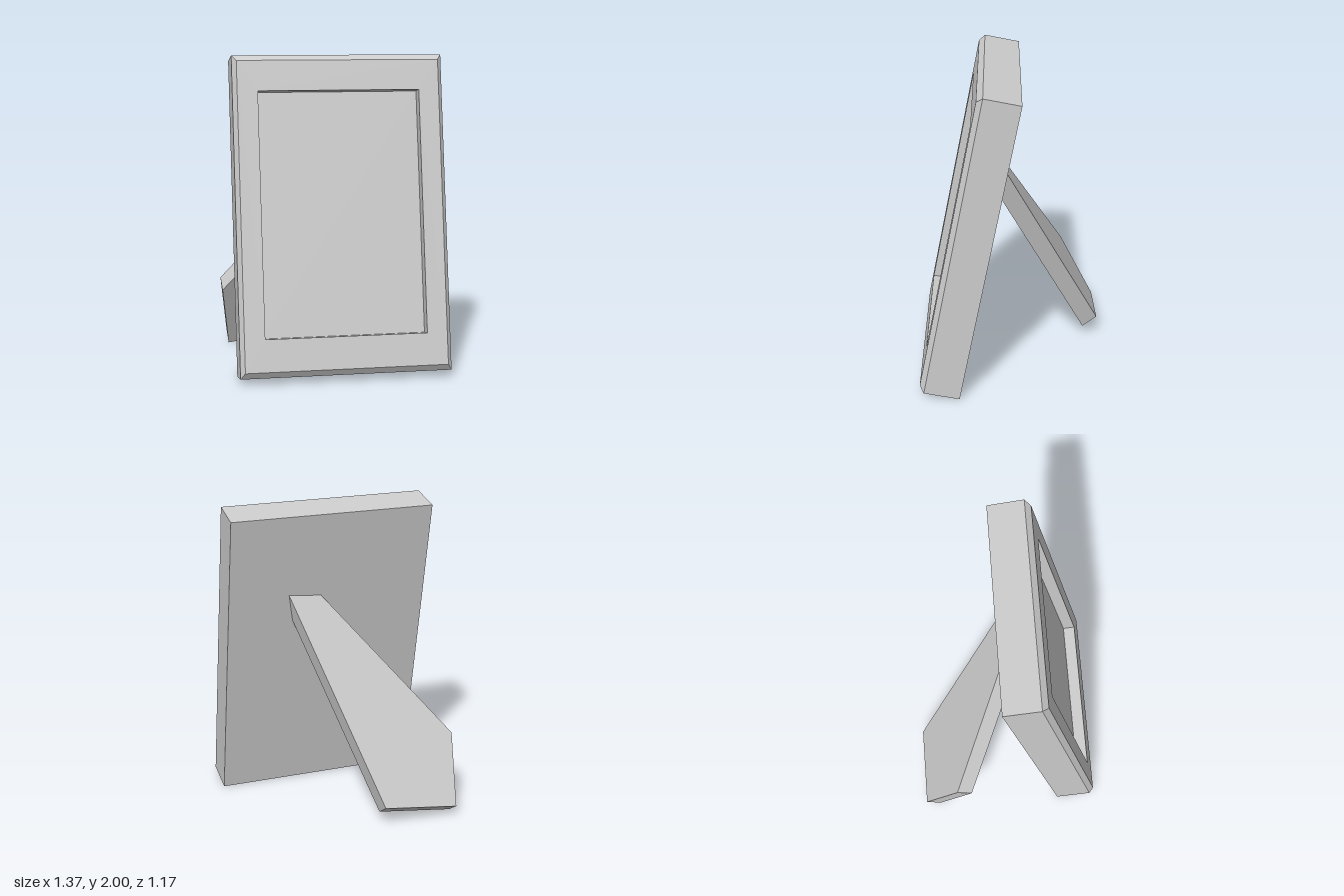
import * as THREE from 'three';

const material = new THREE.MeshStandardMaterial({ color: 0xcccccc, flatShading: true });

// Joins equal-sized rings (counter-clockwise seen from +z, listed back to front) and caps both ends
function loft(name, rings) {
  const pos = [];
  const tri = (...corners) => corners.forEach((p) => pos.push(...p));
  const cap = (r) => {
    for (let i = 1; i < r.length - 1; i++) tri(r[0], r[i], r[i + 1]);
  };
  cap([...rings[0]].reverse());
  for (let k = 0; k < rings.length - 1; k++) {
    const a = rings[k], b = rings[k + 1];
    a.forEach((p, i) => {
      const j = (i + 1) % a.length;
      tri(p, a[j], b[j]);
      tri(p, b[j], b[i]);
    });
  }
  cap(rings[rings.length - 1]);
  const geometry = new THREE.BufferGeometry();
  geometry.setAttribute('position', new THREE.Float32BufferAttribute(pos, 3));
  geometry.computeVertexNormals();
  const mesh = new THREE.Mesh(geometry, material);
  mesh.name = name;
  return mesh;
}

const rect = (halfWidth, bottom, top, z) => [
  [-halfWidth, bottom, z], [halfWidth, bottom, z], [halfWidth, top, z], [-halfWidth, top, z],
];

export function createModel() {
  const model = new THREE.Group();
  model.name = 'pictureFrame';

  // Frame: straight sides, bevelled front edge, flat border and recessed picture panel
  const frame = loft('frame', [
    rect(0.6625, 0, 1.989, 0),
    rect(0.6625, 0, 1.989, 0.23),
    rect(0.635, 0.037, 1.952, 0.263),
    rect(0.5075, 0.238, 1.763, 0.263),
    rect(0.5075, 0.238, 1.763, 0.185),
  ]);
  frame.position.set(0.0225, 0, 0.335);
  frame.rotation.x = -Math.atan(0.2); // leans back
  model.add(frame);

  // Support leg: a slanted, slightly twisted five-sided plate whose top is sunk into the frame
  const outline = [[-0.63, -0.585], [-0.135, -0.585], [0.315, 0.09], [0.134, 0.09], [-0.685, -0.36]];
  const outer = outline.map(([x, z]) => [x, 0.068 + 0.1414 * (x + 0.63) + 1.91 * (z + 0.585), z]);
  const inner = outer.map(([x, y, z]) => [x + 0.006, y - 0.068, z + 0.095]);
  model.add(loft('supportLeg', [outer, inner]));

  return model;
}
